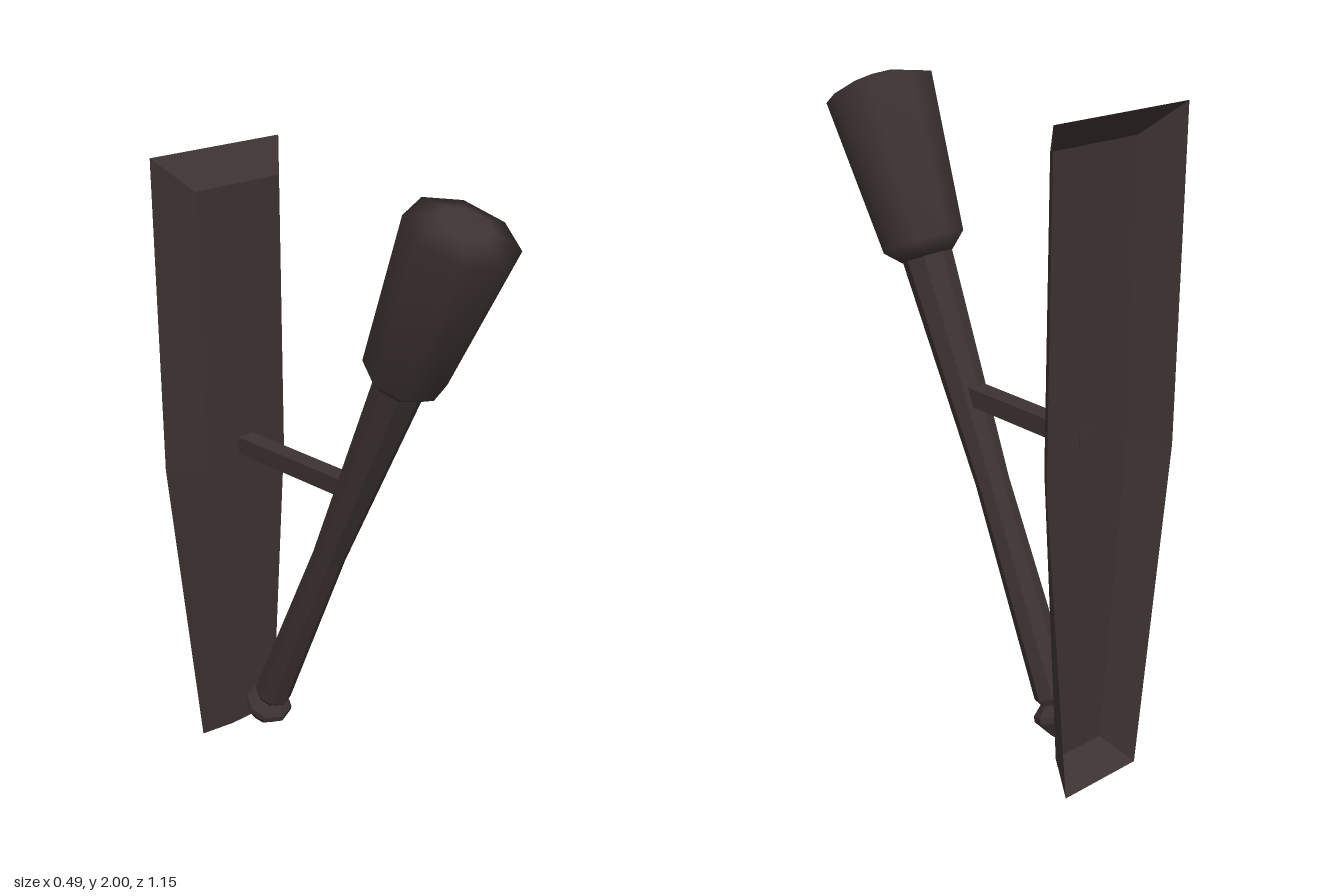
import * as THREE from 'three';

const iron = new THREE.MeshStandardMaterial({ color: 0x3c3231, side: THREE.DoubleSide });
iron.name = 'dark iron';

function add(parent, geometry, name) {
  const mesh = new THREE.Mesh(geometry, iron);
  mesh.name = name;
  parent.add(mesh);
  return mesh;
}

// Eight-sided turned part; profile is [radius, height] from bottom to top
function turned(profile, faceted) {
  let g = new THREE.LatheGeometry(profile.map(([r, y]) => new THREE.Vector2(r, y)), 8);
  if (faceted) {
    g = g.toNonIndexed();
    g.computeVertexNormals();
  }
  return g;
}

// Bevelled wall plate: hollow shell, open at the back
function plateGeometry() {
  // half outlines, bottom to top: [half width, height]
  const outline = (half, z) => [
    ...half.map(([x, y]) => [x, y, z]),
    ...half.slice().reverse().map(([x, y]) => [-x, y, z]),
  ];
  const back = outline([[0.145, 0], [0.247, 1.02], [0.247, 2]], -0.58);
  const front = outline([[0.093, 0.065], [0.162, 1.02], [0.162, 1.905]], -0.482);
  const pos = [];
  const n = back.length;
  for (let i = 0; i < n; i++) {
    const j = (i + 1) % n;
    pos.push(...back[i], ...back[j], ...front[j], ...back[i], ...front[j], ...front[i]);
  }
  for (let i = 1; i < n - 1; i++) pos.push(...front[0], ...front[i], ...front[i + 1]);
  const g = new THREE.BufferGeometry();
  g.setAttribute('position', new THREE.Float32BufferAttribute(pos, 3));
  g.computeVertexNormals();
  return g;
}

export function createModel() {
  const model = new THREE.Group();
  model.name = 'wallTorch';

  add(model, plateGeometry(), 'wallPlate');

  // Horizontal arm joining plate and handle
  const arm = add(model, new THREE.BoxGeometry(0.06, 0.056, 0.49), 'bracketArm');
  arm.position.set(0, 1.072, -0.24);

  // Torch leaning forward, built along its own axis
  const torch = new THREE.Group();
  torch.name = 'torch';
  torch.position.set(0, 0.199, -0.374);
  torch.rotation.x = Math.atan(0.4625);
  model.add(torch);

  add(torch, turned([[0, -0.12], [0.042, -0.12], [0.08, -0.068], [0.078, -0.05], [0.045, -0.018]], true), 'pommel');
  add(torch, turned([[0, -0.025], [0.045, -0.025], [0.061, 0], [0.052, 0.673], [0.077, 1.385]], true), 'handle');
  add(torch, turned([[0, 1.379], [0.078, 1.379], [0.125, 1.424], [0.165, 1.903], [0.078, 1.932], [0, 1.934]], false), 'torchHead');

  return model;
}
